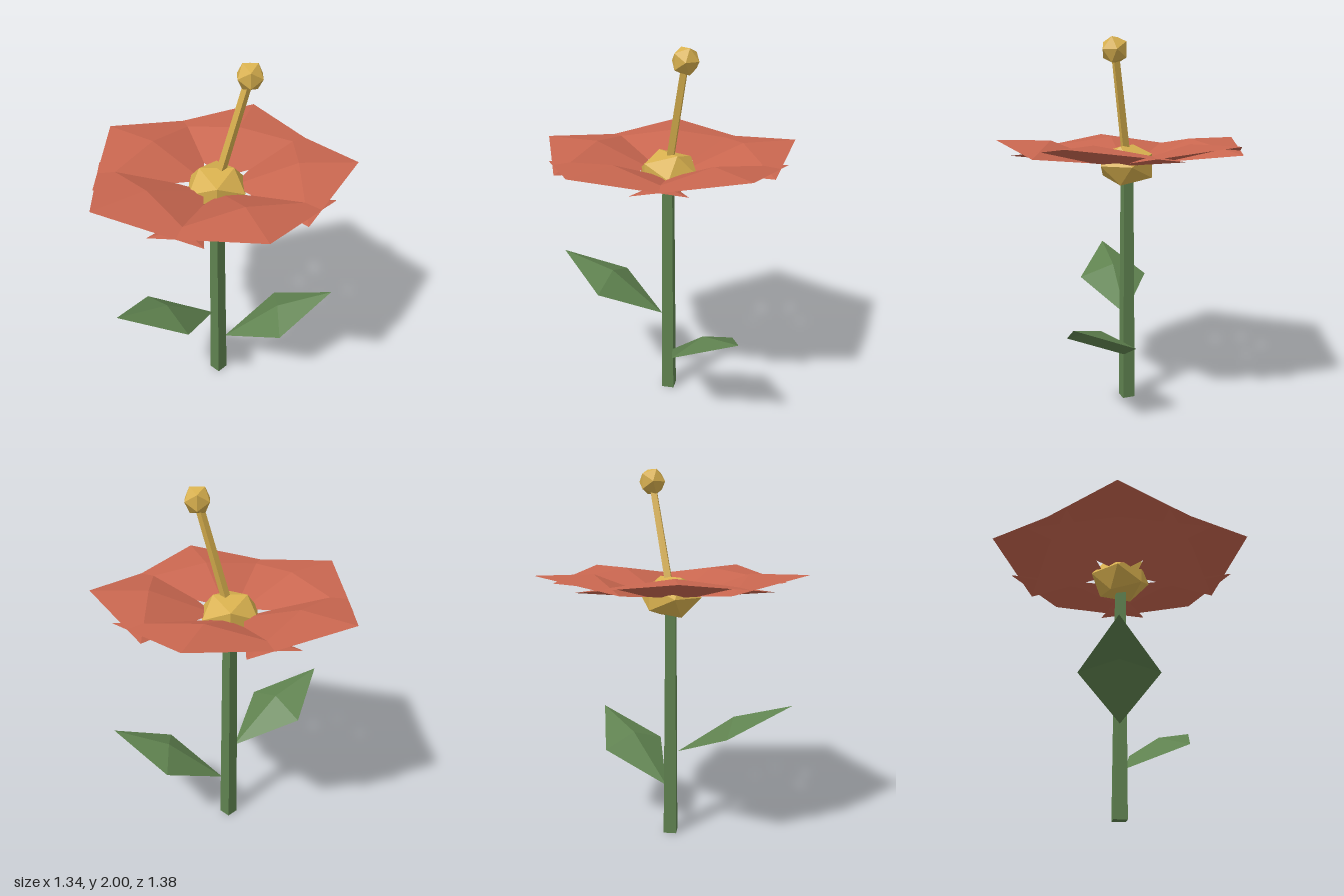
import * as THREE from 'three';

const CENTER_X = -0.055;

const petalRed = new THREE.MeshStandardMaterial({ name: 'petalRed', color: 0xc8664f, flatShading: true, side: THREE.DoubleSide });
const leafGreen = new THREE.MeshStandardMaterial({ name: 'leafGreen', color: 0x5f824f, flatShading: true, side: THREE.DoubleSide });
const pollenYellow = new THREE.MeshStandardMaterial({ name: 'pollenYellow', color: 0xd8b04e, flatShading: true });

// Four-facet diamond blade pointing along +x, with a raised middle
function bladeGeometry({ inner, outer, mid, half, y0, y1, lift }) {
  const yMid = (y0 + y1) / 2;
  const base = [inner, y0, 0];
  const tip = [outer, y1, 0];
  const near = [mid, yMid, half];
  const far = [mid, yMid, -half];
  const peak = [mid, yMid + lift, 0];
  const rim = [base, near, tip, far];
  const corners = [];
  rim.forEach((p, i) => corners.push(...p, ...rim[(i + 1) % 4], ...peak));
  const g = new THREE.BufferGeometry();
  g.setAttribute('position', new THREE.Float32BufferAttribute(corners, 3));
  g.computeVertexNormals();
  return g;
}

export function createModel() {
  const model = new THREE.Group();
  model.name = 'flower';
  const plant = new THREE.Group();
  plant.name = 'plant';
  plant.position.x = CENTER_X;
  model.add(plant);

  const add = (name, geometry, material, x = 0, y = 0) => {
    const mesh = new THREE.Mesh(geometry, material);
    mesh.name = name;
    mesh.position.set(x, y, 0);
    plant.add(mesh);
    return mesh;
  };

  // Four-sided tapering stem
  add('stem', new THREE.CylinderGeometry(0.038, 0.05, 1.3, 4), leafGreen, 0, 0.65);

  // Two leaves
  const leaf = { inner: 0.04, outer: 0.66, mid: 0.35, half: 0.2, lift: 0.07 };
  add('lowerLeaf', bladeGeometry({ ...leaf, y0: 0.26, y1: 0.595 }), leafGreen);
  add('upperLeaf', bladeGeometry({ ...leaf, y0: 0.475, y1: 0.78 }), leafGreen)
    .rotation.y = -THREE.MathUtils.degToRad(143.2);

  // Ring of five overlapping petals
  const petal = bladeGeometry({ inner: 0.085, outer: 0.725, mid: 0.42, half: 0.475, y0: 1.335, y1: 1.465, lift: 0.065 });
  for (let i = 0; i < 5; i++) {
    add('petal' + (i + 1), petal, petalRed).rotation.y = (i * Math.PI * 2) / 5;
  }

  // Flattened flower heart
  add('heart', new THREE.IcosahedronGeometry(0.171, 0).scale(1, 0.72, 1), pollenYellow, 0, 1.335);

  // Leaning pistil with a faceted ball on top
  const from = new THREE.Vector3(0, 1.34, 0);
  const to = new THREE.Vector3(0.162, 1.935, 0);
  const along = to.clone().sub(from);
  const pistil = add('pistil', new THREE.CylinderGeometry(0.022, 0.026, along.length(), 4), pollenYellow);
  pistil.position.copy(from).lerp(to, 0.5);
  pistil.rotation.z = -Math.atan2(along.x, along.y);
  add('pistilBall', new THREE.IcosahedronGeometry(0.076, 0).scale(0.95, 1, 1), pollenYellow, to.x, to.y);

  return model;
}
